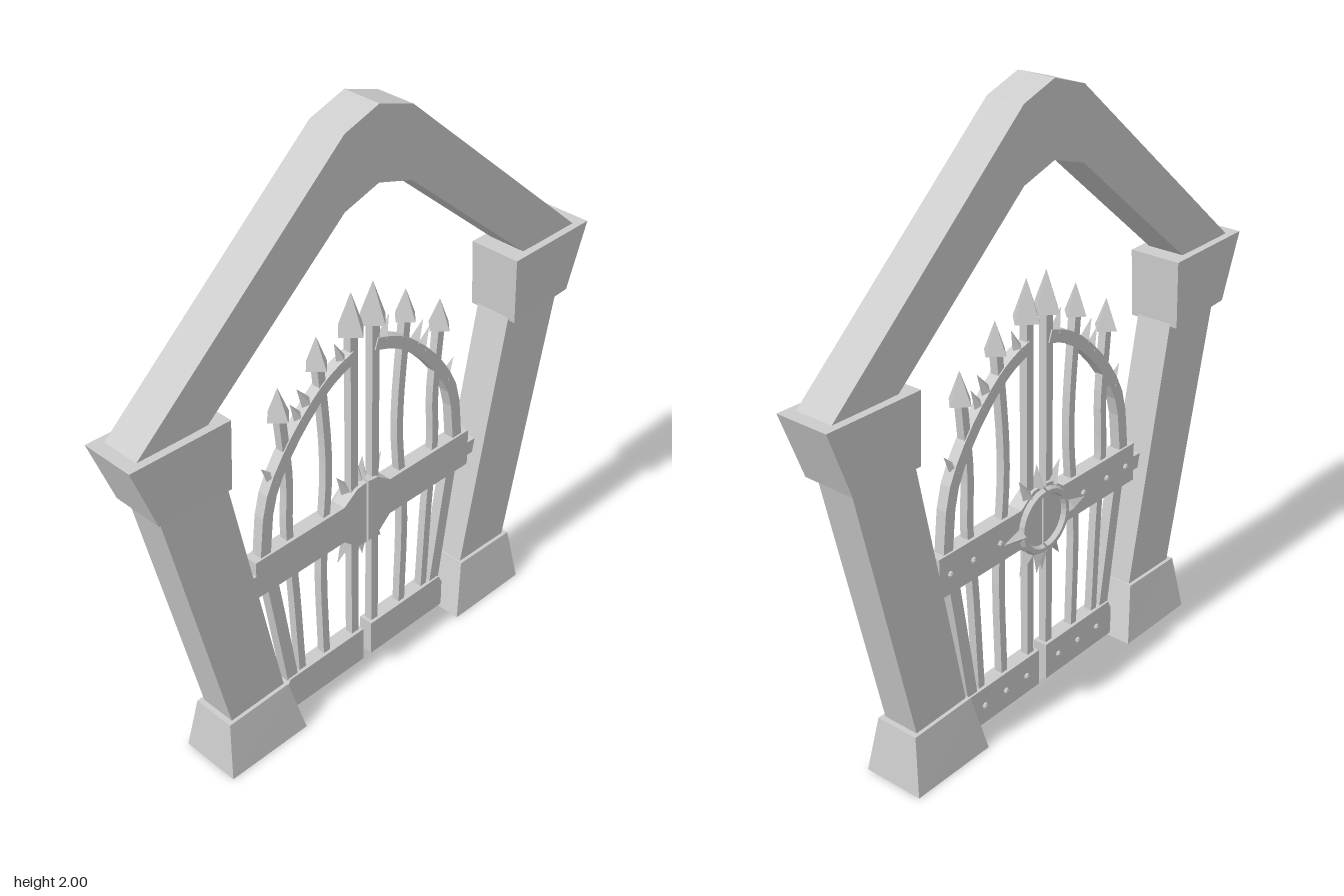
import * as THREE from 'three';

const mat = new THREE.MeshStandardMaterial({ color: 0xcccccc, flatShading: true });

function add(group, name, geometry) {
  const mesh = new THREE.Mesh(geometry, mat);
  mesh.name = name;
  group.add(mesh);
  return mesh;
}

// Outline in x, y given a depth, centred on z = 0
function slab(points, depth) {
  const shape = new THREE.Shape(points.map(([x, y]) => new THREE.Vector2(x, y)));
  const geo = new THREE.ExtrudeGeometry(shape, { depth, bevelEnabled: false });
  return geo.translate(0, 0, -depth / 2);
}

// Tapered leaning block: corners are [x, y] for outer/inner, bottom/top
function block(side, c, zBottom, zTop) {
  const geo = new THREE.BoxGeometry(1, 1, 1).toNonIndexed();
  const p = geo.attributes.position;
  for (let i = 0; i < p.count; i++) {
    const top = p.getY(i) > 0, outer = p.getX(i) * side > 0;
    const [x, y] = c[(top ? 2 : 0) + (outer ? 0 : 1)];
    p.setXYZ(i, side * x, y, Math.sign(p.getZ(i)) * (top ? zTop : zBottom));
  }
  geo.computeVertexNormals();
  return geo;
}

// Flat bar of constant width following a smooth path in x, y
function ribbon(points, width, depth, steps = 14) {
  const curve = new THREE.CatmullRomCurve3(points.map(([x, y]) => new THREE.Vector3(x, y, 0)));
  const left = [], right = [];
  for (let i = 0; i <= steps; i++) {
    const p = curve.getPoint(i / steps), t = curve.getTangent(i / steps);
    left.push([p.x - t.y * width / 2, p.y + t.x * width / 2]);
    right.unshift([p.x + t.y * width / 2, p.y - t.x * width / 2]);
  }
  return slab([...left, ...right], depth);
}

// Thorn or spearhead with its base at x, y, pointing along angle
function spike(group, name, x, y, z, angle, radius, length) {
  const geo = new THREE.ConeGeometry(radius, length, 4).translate(0, length / 2, 0);
  const mesh = add(group, name, geo);
  mesh.position.set(x, y, z);
  mesh.rotation.z = angle - Math.PI / 2;
}

function createPillar(side) {
  const g = new THREE.Group();
  g.name = side > 0 ? 'leftPillar' : 'rightPillar';
  add(g, 'base', block(side, [[0.665, 0], [0.355, 0], [0.64, 0.19], [0.4, 0.195]], 0.105, 0.075));
  add(g, 'shaft', block(side, [[0.62, 0.18], [0.405, 0.18], [0.828, 1.09], [0.592, 1.09]], 0.063, 0.063));
  add(g, 'capital', block(side, [[0.845, 1.085], [0.59, 1.07], [0.925, 1.302], [0.582, 1.296]], 0.088, 0.09));
  return g;
}

function createLeaf(side) {
  const g = new THREE.Group();
  g.name = side > 0 ? 'leftGate' : 'rightGate';
  const m = (pts) => pts.map(([x, y]) => [side * x, y]);
  const hub = 0.615;

  // Rails
  add(g, 'bottomRail', slab(m([[0.018, 0.01], [0.36, 0.01], [0.36, 0.11], [0.345, 0.14], [0.018, 0.14]]), 0.05));
  add(g, 'middleRail', slab(m([
    [0.004, 0.5], [0.045, 0.505], [0.1, 0.555], [0.465, 0.555], [0.465, 0.59], [0.505, 0.59],
    [0.505, 0.64], [0.465, 0.64], [0.465, 0.69], [0.1, 0.69], [0.045, 0.73], [0.004, 0.735],
  ]), 0.05));

  // Outer stile running up into the arched top
  add(g, 'stile', ribbon(m([[0.325, 0.12], [0.395, 0.56], [0.42, 0.69]]), 0.043, 0.036, 6));
  add(g, 'archedRail', ribbon(m([
    [0.42, 0.67], [0.39, 0.88], [0.3, 1.03], [0.19, 1.14], [0.12, 1.185], [0.045, 1.212],
  ]), 0.04, 0.036));

  // Uprights with spearheads
  const uprights = [
    { path: [[0.045, 0.13], [0.045, 0.7], [0.045, 1.3]], head: [0.045, 1.29, 0.052, 0.13], w: 0.03 },
    { path: [[0.173, 0.13], [0.18, 0.52], [0.155, 0.8], [0.155, 0.95], [0.18, 1.24]], head: [0.183, 1.235, 0.042, 0.1], w: 0.027 },
    { path: [[0.28, 0.13], [0.3, 0.52], [0.318, 0.72], [0.312, 0.9], [0.332, 1.14]], head: [0.335, 1.135, 0.043, 0.1], w: 0.027 },
  ];
  for (const { path, head: [x, y, r, h], w } of uprights) {
    add(g, 'upright', ribbon(m(path), w, 0.028));
    spike(g, 'spearhead', side * x, y, 0, Math.PI / 2, r, h);
  }

  // Thorns along the arched rail
  for (const [x, y, deg] of [[0.365, 0.93, 55], [0.255, 1.09, 62], [0.225, 1.13, 60], [0.085, 1.21, 68]]) {
    const a = THREE.MathUtils.degToRad(deg);
    const angle = side > 0 ? a : Math.PI - a;
    spike(g, 'thorn', side * x, y, 0, angle, 0.02, 0.075);
  }

  // Thorns around the hub
  for (const deg of [86, 60, 0, -60, -86]) {
    const a = THREE.MathUtils.degToRad(deg);
    const angle = side > 0 ? a : Math.PI - a;
    const z = deg === 0 ? -0.035 : -0.012;
    spike(g, 'hubThorn', Math.cos(angle) * 0.115, hub + Math.sin(angle) * 0.115, z, angle, 0.022, 0.08);
  }

  // Half ring and studs on the back face
  const ring = add(g, 'hubRing', new THREE.TorusGeometry(0.098, 0.014, 6, 14, Math.PI));
  ring.position.set(side * 0.004, hub, -0.03);
  ring.rotation.z = -side * Math.PI / 2;
  const studs = [[0.2, 0.622], [0.32, 0.622], [0.42, 0.622], [0.08, 0.075], [0.18, 0.075], [0.28, 0.075]];
  for (const [x, y] of studs) {
    add(g, 'stud', new THREE.SphereGeometry(0.011, 6, 4)).position.set(side * x, y, -0.025);
  }
  return g;
}

export function createModel() {
  const model = new THREE.Group();
  model.name = 'archedGate';
  // Pointed stone arch
  add(model, 'arch', slab([
    [-0.885, 1.298], [-0.64, 1.298], [-0.13, 1.73], [0, 1.77], [0.13, 1.73], [0.64, 1.298],
    [0.885, 1.298], [0.13, 1.957], [0, 2], [-0.13, 1.957],
  ], 0.13));
  for (const side of [1, -1]) model.add(createPillar(side), createLeaf(side));
  return model;
}
